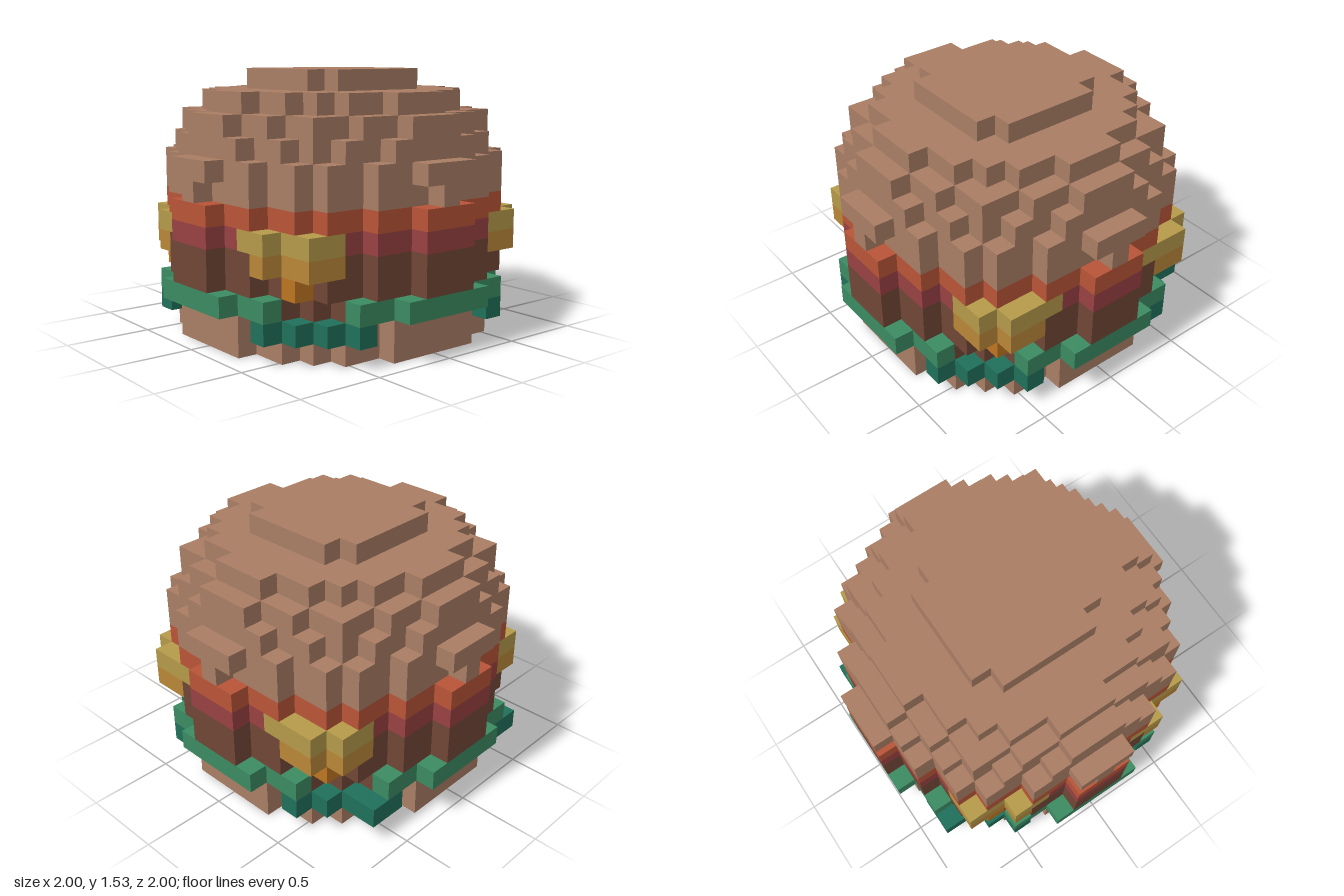
import * as THREE from 'three';
import { mergeGeometries } from 'three/addons/utils/BufferGeometryUtils.js';

const U = 2 / 17; // cube size: 17 x 13 x 17 grid
const R = 8;

const COLORS = {
  bottomBun: 0xa97d64, lettuceLow: 0x20705a, lettuce: 0x3b8a62, patty: 0x714636,
  cheeseDrip: 0xbd7522, cheeseLow: 0xb98738, cheese: 0xb59a4a,
  sauce: 0x984042, tomato: 0xb85437, topBun: 0xa97d64,
};

export function createModel() {
  const cells = new Map();
  const key = (x, y, z) => `${x},${y},${z}`;

  // Fill the cells of a layer that satisfy a rule on (x, z, larger, smaller distance)
  function fill(part, y, rule) {
    for (let x = -R; x <= R; x++) for (let z = -R; z <= R; z++) {
      const a = Math.max(Math.abs(x), Math.abs(z));
      const b = Math.min(Math.abs(x), Math.abs(z));
      if (rule(x, z, a, b)) cells.set(key(x, y, z), part);
    }
  }
  const disc = (r2) => (x, z) => x * x + z * z <= r2;
  const wide = (x, z, a, b) => x * x + z * z <= 64 || (a === 8 && b <= 1);

  // Bottom bun
  fill('bottomBun', 0, disc(53));
  fill('bottomBun', 1, disc(53));

  // Lettuce: wavy ring that drops one step at the diagonals
  fill('patty', 2, disc(53));
  fill('lettuce', 2, (x, z, a, b) => (a === 8 && b <= 2) || (a === 7 && b <= 4));
  fill('lettuceLow', 1, (x, z, a, b) => (a === 7 && b === 4) || (a === 6 && b === 5)
    || (x === -7 && Math.abs(z) === 5));

  // Patty, sauce and tomato
  fill('patty', 3, wide);
  fill('patty', 4, wide);
  fill('sauce', 5, wide);
  fill('tomato', 6, wide);

  // Cheese corners with a drip at each
  const corner = (x, z, a, b) => (a === 6 && b >= 5)
    || (Math.abs(z) === 7 && Math.abs(x) === 4) || (z === -7 && Math.abs(x) === 5);
  fill('cheese', 5, (x, z, a, b) => corner(x, z, a, b) || (Math.abs(z) === 7 && Math.abs(x) === 3));
  fill('cheeseLow', 4, corner);
  fill('cheeseDrip', 3, (x, z) => Math.abs(x) === 5 && Math.abs(z) === 6);

  // Domed top bun with a small overhang on each side
  fill('topBun', 7, disc(64));
  fill('topBun', 8, wide);
  [57, 51, 38, 14].forEach((r2, i) => fill('topBun', 9 + i, disc(r2)));

  // Outer faces only: direction and matching plane rotation
  const H = Math.PI / 2;
  const sides = [
    [1, 0, 0, 0, H], [-1, 0, 0, 0, -H], [0, 1, 0, -H, 0],
    [0, -1, 0, H, 0], [0, 0, 1, 0, 0], [0, 0, -1, 0, Math.PI],
  ].map(([dx, dy, dz, rx, ry]) => ({
    dx, dy, dz,
    face: new THREE.PlaneGeometry(U, U).rotateX(rx).rotateY(ry)
      .translate(dx * U / 2, dy * U / 2, dz * U / 2),
  }));

  const faces = {};
  for (const [k, part] of cells) {
    const [x, y, z] = k.split(',').map(Number);
    for (const { dx, dy, dz, face } of sides) {
      if (cells.has(key(x + dx, y + dy, z + dz))) continue;
      (faces[part] ??= []).push(face.clone().translate(x * U, (y + 0.5) * U, z * U));
    }
  }

  const group = new THREE.Group();
  group.name = 'burger';
  for (const [part, list] of Object.entries(faces)) {
    const mesh = new THREE.Mesh(mergeGeometries(list),
      new THREE.MeshStandardMaterial({ color: COLORS[part] }));
    mesh.name = part;
    group.add(mesh);
  }
  return group;
}
